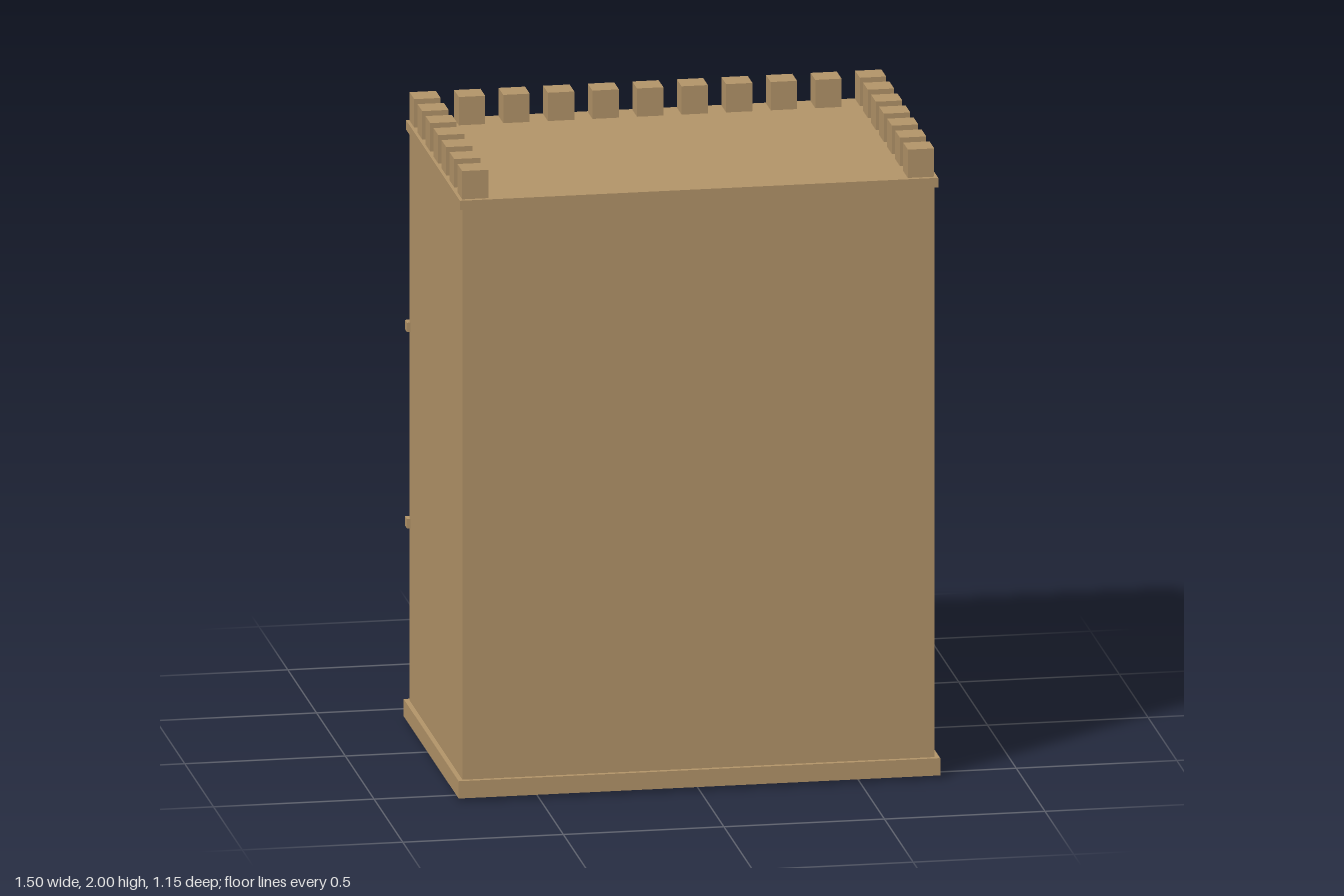
import * as THREE from 'three';

const mat = (name, color) => {
  const m = new THREE.MeshStandardMaterial({ color });
  m.name = name;
  return m;
};

export function createModel() {
  const sand = mat('sandstone', 0xb5966a);
  const darkWood = mat('dark wood', 0x5e3822);
  const wood = mat('wood', 0x76462a);
  const doorWood = mat('door wood', 0x5a301c);
  const pane = mat('window blue', 0x345069);
  const navy = mat('navy', 0x24426a);
  const red = mat('red', 0xc85555);
  const green = mat('green', 0x55a56e);
  const blue = mat('glass blue', 0x4b94bc);
  const gold = mat('gold', 0xd0a54c);

  const model = new THREE.Group();
  model.name = 'house';
  const add = (name, geometry, material, parent = model) => {
    const mesh = new THREE.Mesh(geometry, material);
    mesh.name = name;
    parent.add(mesh);
    return mesh;
  };
  // Box given by its limits on each axis
  const box = (name, m, x0, x1, y0, y1, z0, z1, parent) => {
    const mesh = add(name, new THREE.BoxGeometry(x1 - x0, y1 - y0, z1 - z0), m, parent);
    mesh.position.set((x0 + x1) / 2, (y0 + y1) / 2, (z0 + z1) / 2);
    return mesh;
  };
  const group = (name) => {
    const g = new THREE.Group();
    g.name = name;
    model.add(g);
    return g;
  };

  // Walls, plinth, cornice and floor bands
  box('walls', sand, -0.735, 0.735, 0.02, 1.9, -0.36, 0.56);
  box('plinth', sand, -0.75, 0.75, 0.01, 0.065, -0.38, 0.575);
  box('cornice', sand, -0.745, 0.745, 1.88, 1.91, -0.37, 0.568);
  for (const y of [0.63, 1.255]) box('floorBand', sand, -0.745, 0.745, y - 0.015, y + 0.015, -0.385, -0.35);

  // Battlements along the street side and both flanks
  const merlons = group('battlements');
  const merlon = (x, z) => box('merlon', sand, x - 0.041, x + 0.041, 1.91, 2, z - 0.041, z + 0.041, merlons);
  for (let i = 0; i < 11; i++) merlon(-0.694 + i * 0.1388, -0.322);
  for (let i = 1; i < 7; i++) for (const s of [-1, 1]) merlon(s * 0.694, -0.322 + i * 0.139);

  // Arched surround behind each opening
  const arch = (x, r, y0, spring) => {
    const s = new THREE.Shape();
    s.moveTo(-r, y0);
    s.lineTo(r, y0);
    s.lineTo(r, spring);
    s.absarc(0, spring, r, 0, Math.PI, false);
    s.closePath();
    const g = new THREE.ExtrudeGeometry(s, { depth: 0.02, bevelEnabled: false, curveSegments: 12 });
    add('archedSurround', g, sand).position.set(x, 0, -0.376);
  };

  // Door
  arch(0, 0.155, 0, 0.38);
  box('door', doorWood, -0.13, 0.13, 0.005, 0.44, -0.39, -0.36);

  // Ground floor windows with open shutters
  for (const x of [-0.478, 0.478]) {
    arch(x, 0.105, 0.15, 0.43);
    box('windowPane', pane, x - 0.06, x + 0.06, 0.17, 0.425, -0.381, -0.36);
    for (const s of [-1, 1]) {
      const c = x + s * 0.117;
      box('shutter', pane, c - 0.056, c + 0.056, 0.17, 0.425, -0.389, -0.36);
    }
  }

  // Upper windows
  arch(0.493, 0.105, 0.78, 1.06);
  box('windowPane', pane, 0.408, 0.578, 0.795, 1.055, -0.383, -0.36);
  arch(-0.55, 0.09, 1.42, 1.655);
  box('windowPane', pane, -0.62, -0.48, 1.44, 1.65, -0.383, -0.36);

  // Balcony
  const balcony = group('balcony');
  box('balconyFloor', wood, -0.66, 0.145, 0.655, 0.678, -0.54, -0.36, balcony);
  box('balconyRoof', darkWood, -0.685, 0.17, 1.135, 1.155, -0.575, -0.36, balcony);
  for (const x of [-0.645, 0.13]) box('balconyPost', wood, x - 0.012, x + 0.012, 0.67, 1.14, -0.546, -0.524, balcony);
  box('handrail', wood, -0.645, 0.13, 0.825, 0.845, -0.545, -0.525, balcony);
  for (let i = 1; i < 9; i++) {
    const x = -0.645 + i * 0.0861;
    box('baluster', wood, x - 0.007, x + 0.007, 0.675, 0.83, -0.541, -0.529, balcony);
  }

  // Rug hung over the handrail
  const rug = group('rug');
  rug.position.set(-0.135, 0.713, -0.55);
  rug.rotation.y = Math.PI;
  box('rugBorder', navy, -0.132, 0.132, -0.145, 0.145, -0.002, 0.002, rug);
  const flat = (name, m, pts, z) => {
    const p = pts.map(([x, y]) => new THREE.Vector2(x, y));
    const mesh = add(name, new THREE.ShapeGeometry(new THREE.Shape(p)), m, rug);
    mesh.material.side = THREE.DoubleSide;
    mesh.position.z = z;
  };
  // Zigzag edge of the field
  const field = [];
  const sides = [[-0.107, -0.12, 1, 0], [0.107, -0.12, 0, 1], [0.107, 0.12, -1, 0], [-0.107, 0.12, 0, -1]];
  for (const [x, y, dx, dy] of sides) {
    const n = 12, len = dx ? 0.214 : 0.24;
    for (let i = 0; i < n; i++) {
      const t = (i / n) * len, out = i % 2 ? 0.014 : 0;
      field.push([x + dx * t + dy * out, y + dy * t - dx * out]);
    }
  }
  flat('rugField', gold, field, 0.0035);
  const a = 0.09, b = 0.105, c = 0.045;
  flat('rugMedallion', red, [[-c, -b], [c, -b], [a, -c], [a, c], [c, b], [-c, b], [-a, c], [-a, -c]], 0.005);
  const diamond = (w, h) => [[0, -h], [w, 0], [0, h], [-w, 0]];
  flat('rugDiamond', gold, diamond(0.045, 0.058), 0.0065);
  flat('rugHeart', green, diamond(0.023, 0.03), 0.008);

  // Enclosed bay with coloured glass
  const bay = group('glazedBay');
  const X0 = -0.225, X1 = 0.665, Y0 = 1.3, Y1 = 1.705;
  box('bayCore', darkWood, X0 + 0.006, X1 - 0.006, Y0, Y1, -0.524, -0.36, bay);
  box('bayFloor', wood, X0, X1, 1.28, 1.3, -0.525, -0.36, bay);
  box('bayRoof', darkWood, -0.255, 0.695, 1.72, 1.74, -0.558, -0.36, bay);
  box('bayRoofBearer', darkWood, X0 + 0.02, X1 - 0.02, 1.7, 1.722, -0.38, -0.36, bay);
  for (let i = 0; i < 6; i++) {
    const x = X0 + 0.008 + (i * (X1 - X0 - 0.016)) / 5;
    box('bayPost', darkWood, x - 0.008, x + 0.008, Y0, Y1, -0.532, -0.515, bay);
  }
  for (const [y0, y1] of [[Y0, Y0 + 0.014], [Y1 - 0.014, Y1]]) {
    box('bayRail', darkWood, X0, X1, y0, y1, -0.53, -0.36, bay);
  }
  // Hexagonal panes, staggered by row and cut at the edge of the sheet
  const glassColours = [red, gold, green, blue];
  const glass = (w, h, x, z, turn) => {
    const cells = [[], [], [], []];
    const cut = (t) => Math.min(1, Math.max(0, t));
    const s = 0.2 / 1.5;
    for (let r = 0; r <= 5; r++) {
      for (let k = 0; k <= 4; k++) {
        const u = (k + (r % 2 ? 0.5 : 0)) / 4, v = r * 0.2;
        if (u > 1.01) continue;
        const pts = [[0, -s], [0.125, -s / 2], [0.125, s / 2], [0, s], [-0.125, s / 2], [-0.125, -s / 2]].map(
          ([p, q]) => new THREE.Vector2((cut(u + p) - 0.5) * w, (cut(v + q) - 0.5) * h));
        cells[(k + r * 2 + (r >> 1)) % 4].push(new THREE.Shape(pts));
      }
    }
    cells.forEach((shapes, i) => {
      const mesh = add('glassPanes', new THREE.ShapeGeometry(shapes), glassColours[i], bay);
      mesh.position.set(x, (Y0 + Y1) / 2, z);
      mesh.rotation.y = turn;
    });
  };
  const mid = (X0 + X1) / 2;
  glass(X1 - X0 - 0.02, Y1 - Y0 - 0.02, mid, -0.527, Math.PI);
  glass(0.148, Y1 - Y0 - 0.02, X1 - 0.003, -0.441, Math.PI / 2);
  glass(0.148, Y1 - Y0 - 0.02, X0 + 0.003, -0.441, -Math.PI / 2);

  // Triangular brackets under the bay
  for (const x of [mid - 0.4, mid + 0.4]) {
    const tri = new THREE.Shape([[0.355, 1.17], [0.355, 1.282], [0.495, 1.282]].map(([p, q]) => new THREE.Vector2(p, q)));
    const g = new THREE.ExtrudeGeometry(tri, { depth: 0.04, bevelEnabled: false });
    const bracket = add('bayBracket', g, wood, bay);
    bracket.rotation.y = Math.PI / 2;
    bracket.position.x = x - 0.02;
  }
  return model;
}
